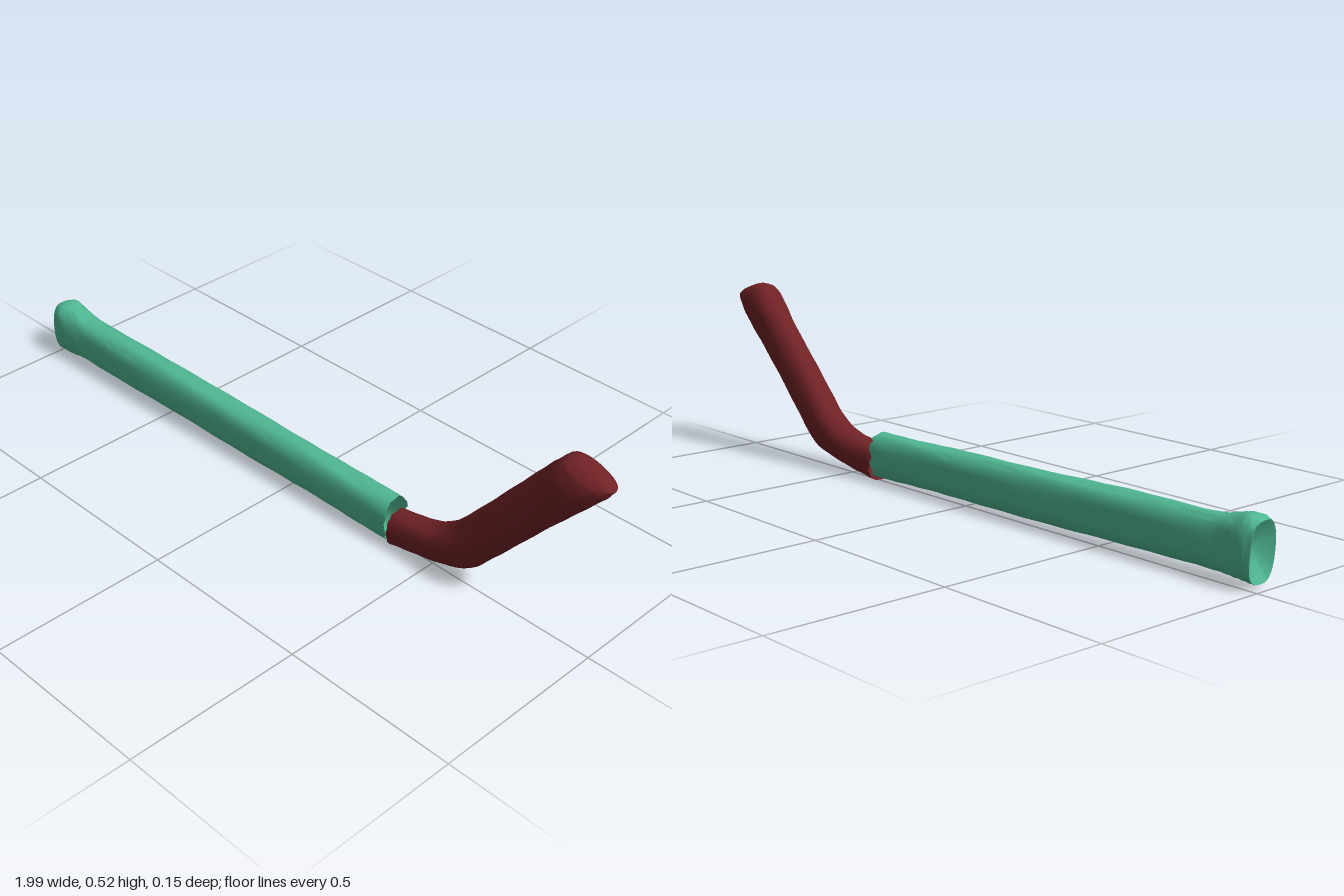
import * as THREE from 'three';
import { toCreasedNormals } from 'three/addons/utils/BufferGeometryUtils.js';

const SIDES = 28;

// Section: [topX, topY, bottomX, bottomY, zCentre, zHalf]
// Smooth loft through rounded sections, with slight wrinkles and optional caps.
function loft(sections, steps, { power = 2.5, startCap, endCap, jagStart = 0, jagEnd = 0 }) {
  const curve = (f) => new THREE.CatmullRomCurve3(sections.map(f));
  const tops = curve((s) => new THREE.Vector3(s[0], s[1], 0));
  const bottoms = curve((s) => new THREE.Vector3(s[2], s[3], 0));
  const widths = curve((s, i) => new THREE.Vector3(s[4], s[5], i));
  const round = (v) => Math.sign(v) * Math.abs(v) ** (2 / power);

  const rings = [];
  for (let i = 0; i <= steps; i++) {
    const t = i / steps;
    const top = tops.getPoint(t), bottom = bottoms.getPoint(t), w = widths.getPoint(t);
    const centre = top.clone().add(bottom).multiplyScalar(0.5).setZ(w.x);
    const up = top.clone().sub(bottom).multiplyScalar(0.5);
    const ring = [];
    for (let j = 0; j < SIDES; j++) {
      const a = (j / SIDES) * Math.PI * 2;
      const wrinkle = 1 + 0.018 * Math.sin(3 * a + i * 0.5) * Math.sin(i * 0.9 + a)
        + 0.012 * Math.sin(5 * a - i * 0.37);
      const p = centre.clone().addScaledVector(up, round(Math.cos(a)) * wrinkle);
      p.z += round(Math.sin(a)) * w.y * wrinkle;
      // Ragged torn edges
      const rag = Math.sin(j * 2.3) * 0.6 + Math.sin(j * 4.1) * 0.4;
      if (i === 0) p.x += jagStart * rag;
      if (i === steps) p.x += jagEnd * rag;
      ring.push(p);
    }
    rings.push(ring);
  }

  // Caps shrink the end ring inwards; each entry is [scale, offsetX, offsetY]
  const shrink = (ring, [k, dx, dy]) => {
    const c = ring.reduce((s, p) => s.add(p), new THREE.Vector3()).divideScalar(SIDES);
    return ring.map((p) => p.clone().sub(c).multiplyScalar(k).add(c).add(new THREE.Vector3(dx, dy, 0)));
  };
  const first = rings[0], last = rings[steps];
  (startCap || []).forEach((c) => rings.unshift(shrink(first, c)));
  (endCap || []).forEach((c) => rings.push(shrink(last, c)));

  const index = [];
  for (let i = 0; i < rings.length - 1; i++) {
    for (let j = 0; j < SIDES; j++) {
      const k = (j + 1) % SIDES;
      const a = i * SIDES + j, b = i * SIDES + k, c = a + SIDES, d = b + SIDES;
      index.push(a, b, d, a, d, c);
    }
  }
  const geometry = new THREE.BufferGeometry().setFromPoints(rings.flat());
  geometry.setIndex(index);
  return toCreasedNormals(geometry, 0.9);
}

function part(name, geometry, color) {
  const mesh = new THREE.Mesh(geometry, new THREE.MeshStandardMaterial({ color, side: THREE.DoubleSide }));
  mesh.name = name;
  return mesh;
}

export function createModel() {
  const group = new THREE.Group();
  group.name = 'bentStick';

  // Long straight sleeve, flared and dented at its far end, open at the joint
  const sleeve = loft([
    [-0.995, 0.172, -0.985, 0.018, 0.027, 0.046],
    [-0.965, 0.184, -0.965, 0.02, 0.027, 0.049],
    [-0.92, 0.174, -0.92, 0.023, 0.027, 0.047],
    [-0.86, 0.164, -0.86, 0.026, 0.026, 0.043],
    [-0.6, 0.16, -0.6, 0.025, 0.021, 0.044],
    [-0.3, 0.155, -0.3, 0.021, 0.015, 0.043],
    [0, 0.15, 0, 0.021, 0.01, 0.042],
    [0.2, 0.147, 0.2, 0.019, 0.008, 0.042],
    [0.37, 0.145, 0.37, 0.017, 0.004, 0.042],
  ], 64, { power: 2.7, startCap: [[0.85, 0.006, 0], [0.4, 0.025, 0], [0, 0.03, 0]], jagEnd: 0.008 });
  group.add(part('sleeve', sleeve, 0x50b893));

  // Bent handle rising from the joint to a slanted, rounded tip
  const handle = loft([
    [0.375, 0.108, 0.375, 0.006, 0.002, 0.042],
    [0.44, 0.118, 0.45, 0.018, 0, 0.043],
    [0.505, 0.135, 0.54, 0.037, -0.003, 0.045],
    [0.565, 0.173, 0.63, 0.068, -0.008, 0.047],
    [0.62, 0.235, 0.695, 0.134, -0.013, 0.046],
    [0.7, 0.33, 0.785, 0.236, -0.019, 0.045],
    [0.78, 0.423, 0.875, 0.338, -0.025, 0.046],
    [0.83, 0.484, 0.94, 0.41, -0.028, 0.05],
    [0.86, 0.517, 0.985, 0.46, -0.031, 0.042],
    [0.876, 0.523, 0.996, 0.478, -0.033, 0.032],
  ], 44, { power: 2.4, endCap: [[0.75, 0.004, 0.006], [0, 0.004, 0.007]], jagStart: 0.006 });
  group.add(part('handle', handle, 0x702226));

  return group;
}
